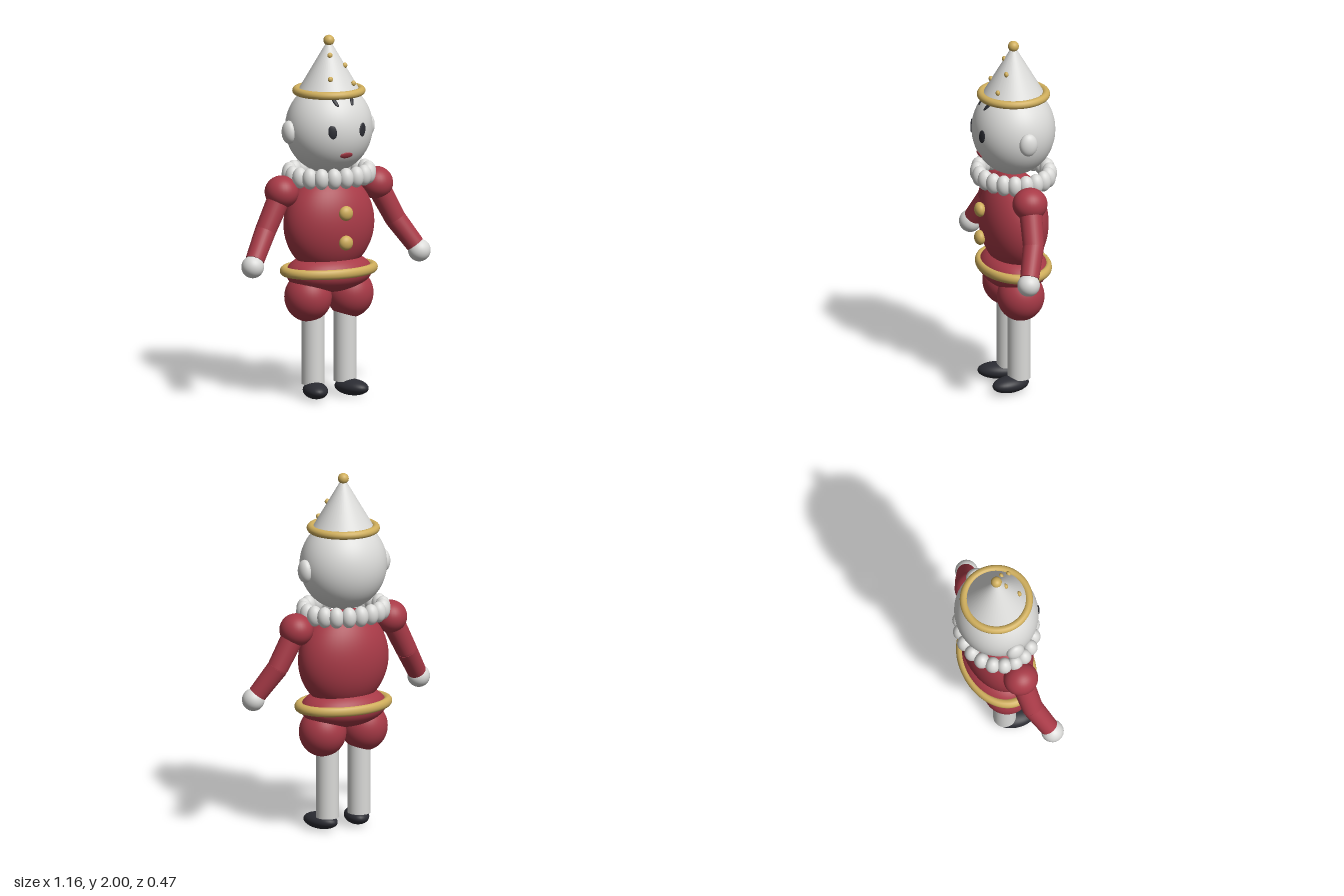
import * as THREE from 'three';

const mat = (name, color, side = THREE.FrontSide) => {
  const m = new THREE.MeshStandardMaterial({ color, side });
  m.name = name;
  return m;
};

export function createModel() {
  const root = new THREE.Group();
  root.name = 'jesterDoll';
  const white = mat('white', 0xdadad8, THREE.DoubleSide);
  const red = mat('red', 0xa83a47);
  const gold = mat('gold', 0xcfae5c);
  const black = mat('black', 0x2b2c33);

  const add = (name, geo, material, pos = [0, 0, 0], parent = root) => {
    const m = new THREE.Mesh(geo, material);
    m.name = name;
    m.position.set(...pos);
    parent.add(m);
    return m;
  };
  const ball = (name, material, pos, radii, detail = 32) => {
    const m = add(name, new THREE.SphereGeometry(1, detail, Math.round(detail * 0.7)), material, pos);
    m.scale.set(...radii);
    return m;
  };
  // Tapered limb between two points
  const limb = (name, material, a, b, ra, rb) => {
    const p = new THREE.Vector3(...a), q = new THREE.Vector3(...b);
    const d = q.clone().sub(p);
    const m = add(name, new THREE.CylinderGeometry(rb, ra, d.length(), 28), material,
      p.clone().add(q).multiplyScalar(0.5).toArray());
    m.quaternion.setFromUnitVectors(new THREE.Vector3(0, 1, 0), d.normalize());
    return m;
  };

  // Head
  const headY = 1.49, headR = [0.243, 0.252, 0.2275];
  ball('head', white, [0, headY, 0], headR, 48);

  // Thin oval laid on the face
  const faceOval = (name, material, x, y, rx, ry, roll = 0) => {
    const u = x / headR[0], v = (y - headY) / headR[1];
    const z = headR[2] * Math.sqrt(1 - u * u - v * v);
    const n = new THREE.Vector3(u / headR[0], v / headR[1], z / headR[2] ** 2).normalize();
    const m = ball(name, material, [x, y, z], [rx, ry, 0.0065], 24);
    m.quaternion.setFromUnitVectors(new THREE.Vector3(0, 0, 1), n);
    m.rotateZ(roll);
  };
  faceOval('mouth', red, 0, 1.363, 0.038, 0.019);

  // Hat: cone with a flat seam panel, brim and tip
  const hatBase = 1.69, hatTop = 1.975, hatR = 0.172, hatH = hatTop - hatBase;
  const seam = 0.67, gap = 0.2;
  add('hatCone', new THREE.CylinderGeometry(0.004, hatR, hatH, 48, 1, true,
    seam + gap / 2, Math.PI * 2 - gap), white, [0, (hatBase + hatTop) / 2, 0]);
  add('hatSeam', new THREE.CylinderGeometry(0.004, hatR, hatH, 1, 1, true,
    seam - gap / 2, gap), white, [0, (hatBase + hatTop) / 2, 0]);
  add('hatBrim', new THREE.TorusGeometry(0.178, 0.022, 16, 64), gold, [0, 1.693, 0])
    .rotation.x = Math.PI / 2;
  ball('hatTip', gold, [0, 1.97, 0], [0.03, 0.03, 0.03]);
  for (const [x, y, z] of [[-0.02, 1.895, 0.047], [0.065, 1.835, 0.062],
    [-0.053, 1.775, 0.113], [0.088, 1.742, 0.118]])
    ball('hatDot', gold, [x, y, z], [0.015, 0.015, 0.012], 16);

  // Ruffled collar
  for (let i = 0; i < 20; i++) {
    const a = (i / 20) * Math.PI * 2;
    ball('collarPuff', white, [0.225 * Math.sin(a), 1.235, 0.193 * Math.cos(a)],
      [0.042, 0.058, 0.042], 24);
  }

  // Body, buttons, hips and belt
  ball('torso', red, [0, 0.96, 0], [0.265, 0.28, 0.183], 48);
  for (const y of [1.04, 0.876]) ball('button', gold, [0, y, 0.193], [0.041, 0.041, 0.03], 24);
  ball('hips', red, [0, 0.69, 0], [0.25, 0.112, 0.183], 48);
  const belt = add('belt', new THREE.TorusGeometry(0.258, 0.027, 16, 72), gold, [0, 0.703, 0]);
  belt.rotation.x = Math.PI / 2;
  belt.scale.y = 0.705;

  // Mirrored parts
  for (const s of [1, -1]) {
    const side = s > 0 ? 'left' : 'right';
    ball(side + 'Ear', white, [s * 0.245, 1.48, -0.008], [0.036, 0.064, 0.051]);
    faceOval(side + 'Eye', black, s * 0.093, 1.5, 0.024, 0.038, s * -0.15);
    faceOval(side + 'Brow', black, s * 0.052, 1.657, 0.011, 0.034, s * -0.35);

    // Arm
    const shoulder = [s * 0.295, 1.155, 0], elbow = [s * 0.405, 0.95, 0.015];
    const wrist = [s * 0.5, 0.805, 0.068];
    ball(side + 'Shoulder', red, shoulder, [0.092, 0.09, 0.096]);
    limb(side + 'UpperArm', red, shoulder, elbow, 0.064, 0.058);
    ball(side + 'Elbow', red, elbow, [0.056, 0.056, 0.056]);
    limb(side + 'Forearm', red, elbow, wrist, 0.058, 0.052);
    ball(side + 'Hand', white, [s * 0.52, 0.772, 0.08], [0.062, 0.062, 0.062]);

    // Leg
    ball(side + 'Breeches', red, [s * 0.13, 0.56, 0], [0.13, 0.137, 0.13], 40);
    limb(side + 'Leg', white, [s * 0.1, 0.075, 0], [s * 0.1, 0.5, 0], 0.063, 0.063);
    ball(side + 'Shoe', black, [s * 0.113, 0.046, 0.052], [0.067, 0.045, 0.112])
      .rotation.y = s * 0.3;
  }
  return root;
}
